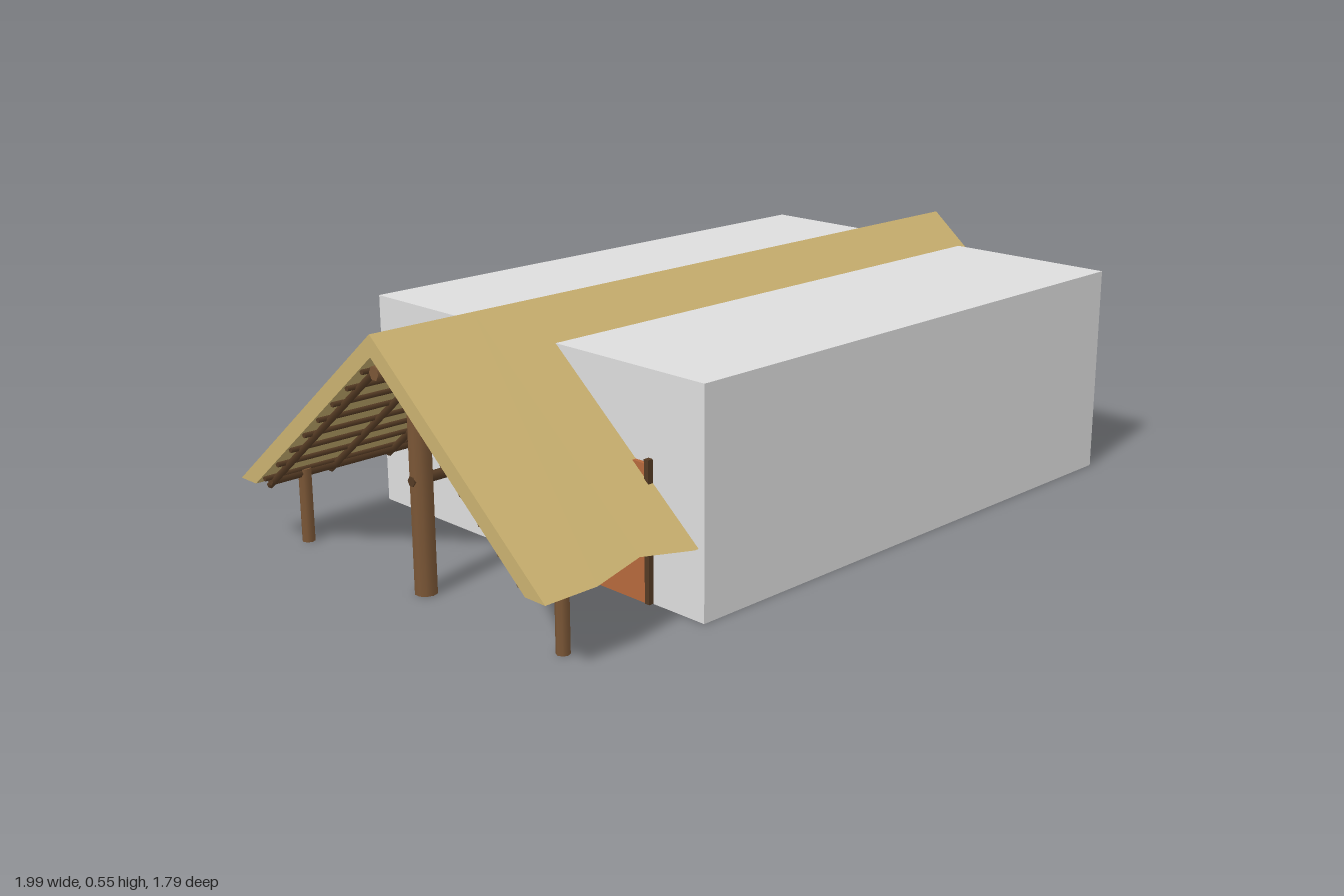
import * as THREE from 'three';

const mat = (name, color, side = THREE.FrontSide) => {
  const m = new THREE.MeshStandardMaterial({ color, side });
  m.name = name;
  return m;
};

export function createModel() {
  const thatch = mat('thatch', 0xc9b06f, THREE.DoubleSide);
  const stone = mat('pale grey', 0xdddddd);
  const wood = mat('post wood', 0x7a5636);
  const darkWood = mat('dark wood', 0x553b24);
  const doorMat = mat('door orange brown', 0xb5683c);

  const model = new THREE.Group();
  model.name = 'longhouse';
  const house = new THREE.Group();
  house.name = 'house';
  house.rotation.y = Math.atan2(0.98, 1.44); // the house stands diagonally
  model.add(house);

  const add = (name, geo, material, x = 0, y = 0, z = 0) => {
    const m = new THREE.Mesh(geo, material);
    m.name = name;
    m.position.set(x, y, z);
    house.add(m);
    return m;
  };

  // Round timber between two points
  const up = new THREE.Vector3(0, 1, 0);
  const beam = (name, a, b, r, material = darkWood, sides = 6) => {
    const p = new THREE.Vector3(...a), q = new THREE.Vector3(...b);
    const d = q.clone().sub(p);
    const m = add(name, new THREE.CylinderGeometry(r, r, d.length(), sides), material);
    m.position.copy(p).add(q).multiplyScalar(0.5);
    m.quaternion.setFromUnitVectors(up, d.normalize());
  };

  // Roof dimensions
  const L = 0.871, W = 0.49, ridge = 0.553, eave = 0.15, thick = 0.045;
  const slope = (ridge - eave) / W;
  const under = (z) => ridge - thick - slope * Math.abs(z);

  // Thatched gable roof: chevron profile swept along the ridge
  const inner = W - thick / slope;
  const profile = new THREE.Shape([
    [-W, eave], [-inner, eave], [0, ridge - thick], [inner, eave], [W, eave], [0, ridge],
  ].map(([x, y]) => new THREE.Vector2(x, y)));
  const roof = new THREE.ExtrudeGeometry(profile, { depth: 2 * L, steps: 14, bevelEnabled: false });
  roof.translate(0, 0, -L);
  roof.rotateY(-Math.PI / 2); // profile x becomes z, depth becomes -x
  const pos = roof.attributes.position;
  for (let i = 0; i < pos.count; i++) {
    // Raised dip in the front eave over the porch
    if (pos.getZ(i) > 0.4 && Math.abs(pos.getX(i) + 0.622) < 0.03) {
      pos.setZ(i, pos.getZ(i) - 0.02);
      pos.setY(i, pos.getY(i) + 0.016);
    }
  }
  roof.computeVertexNormals();
  add('thatchedRoof', roof, thatch);

  // Plain block that encloses the rooms
  add('roomBlock', new THREE.BoxGeometry(1.337, 0.48, 1.01), stone, 0.182, 0.24, 0);

  // Door in the porch wall with side jambs
  add('door', new THREE.BoxGeometry(0.012, 0.29, 0.24), doorMat, -0.49, 0.146, 0.235);
  for (const z of [0.11, 0.36])
    add('doorJamb', new THREE.BoxGeometry(0.016, 0.3, 0.012), darkWood, -0.491, 0.151, z);

  // Side posts, eave plates, rafters and purlins on both slopes
  for (const s of [-1, 1]) {
    for (let i = 0; i < 6; i++) {
      const x = -0.765 + i * 0.306;
      beam('sidePost', [x, 0, s * 0.413], [x, 0.165, s * 0.413], 0.014, wood, 8);
    }
    beam('eavePlate', [-0.85, 0.156, s * 0.413], [0.85, 0.156, s * 0.413], 0.01);
    for (let i = 0; i < 12; i++) {
      const x = -0.84 + i * 0.1527;
      beam('rafter', [x, under(0.43) - 0.014, s * 0.43], [x, under(0) - 0.014, 0], 0.008);
    }
    for (let i = 0; i < 8; i++) {
      const z = 0.04 + i * 0.053;
      beam('purlin', [-0.865, under(z) - 0.005, s * z], [0.872, under(z) - 0.005, s * z], 0.006);
    }
  }

  // Ridge beam, tall porch post and its tie beam
  beam('ridgeBeam', [-0.865, 0.475, 0], [0.865, 0.475, 0], 0.015, wood);
  beam('centrePost', [-0.765, 0, 0], [-0.765, 0.475, 0], 0.024, wood, 10);
  beam('tieBeam', [-0.79, 0.24, 0], [-0.48, 0.24, 0], 0.011);

  return model;
}
